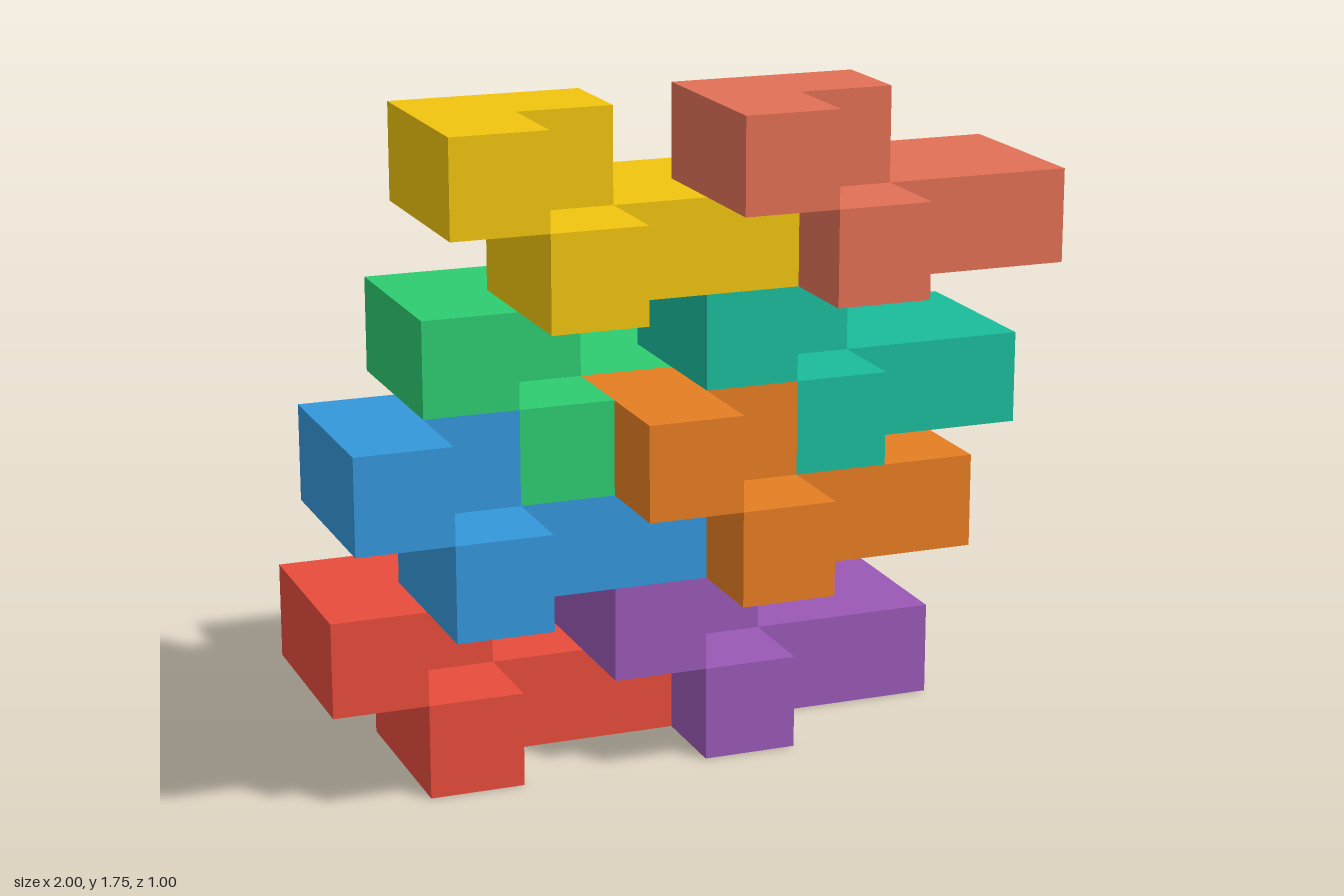
import * as THREE from 'three';

const U = 0.25; // edge of one unit cube

// Plan outlines (x, z) of the two layers of a block, in units
const LOWER = [[1, 0], [2, 0], [2, -1], [4, -1], [4, 1], [2, 1], [2, 2], [1, 2]];
const UPPER = [[0, 0], [2, 0], [2, 1], [1, 1], [1, 2], [0, 2]];

// Every block is the same shape: name, color, origin (x, y, z)
const BLOCKS = [
  ['redBlock', 0xe74c3c, -1, 0, -0.25],
  ['purpleBlock', 0x9b59b6, -0.25, 0, -0.25],
  ['blueBlock', 0x3498db, -1, 0.5, 0],
  ['orangeBlock', 0xe67e22, -0.25, 0.5, 0],
  ['greenBlock', 0x2ecc71, -0.75, 0.75, -0.25],
  ['tealBlock', 0x1abc9c, 0, 0.75, -0.25],
  ['yellowBlock', 0xf1c40f, -0.75, 1.25, 0],
  ['salmonBlock', 0xe17055, 0, 1.25, 0],
];

// Extrudes a plan outline into a layer one unit high, standing on y = bottom
function layerGeometry(outline, bottom) {
  const shape = new THREE.Shape(outline.map(([x, z]) => new THREE.Vector2(x * U, z * U)));
  return new THREE.ExtrudeGeometry(shape, { depth: U, bevelEnabled: false })
    .rotateX(Math.PI / 2)
    .translate(0, bottom + U, 0);
}

export function createModel() {
  const model = new THREE.Group();
  model.name = 'interlockingBlocks';
  const lower = layerGeometry(LOWER, 0);
  const upper = layerGeometry(UPPER, U);

  for (const [name, color, x, y, z] of BLOCKS) {
    const block = new THREE.Group();
    block.name = name;
    block.position.set(x, y, z);
    const material = new THREE.MeshStandardMaterial({ color });
    for (const [part, geometry] of [['lowerLayer', lower], ['upperLayer', upper]]) {
      const mesh = new THREE.Mesh(geometry, material);
      mesh.name = part;
      block.add(mesh);
    }
    model.add(block);
  }
  return model;
}
